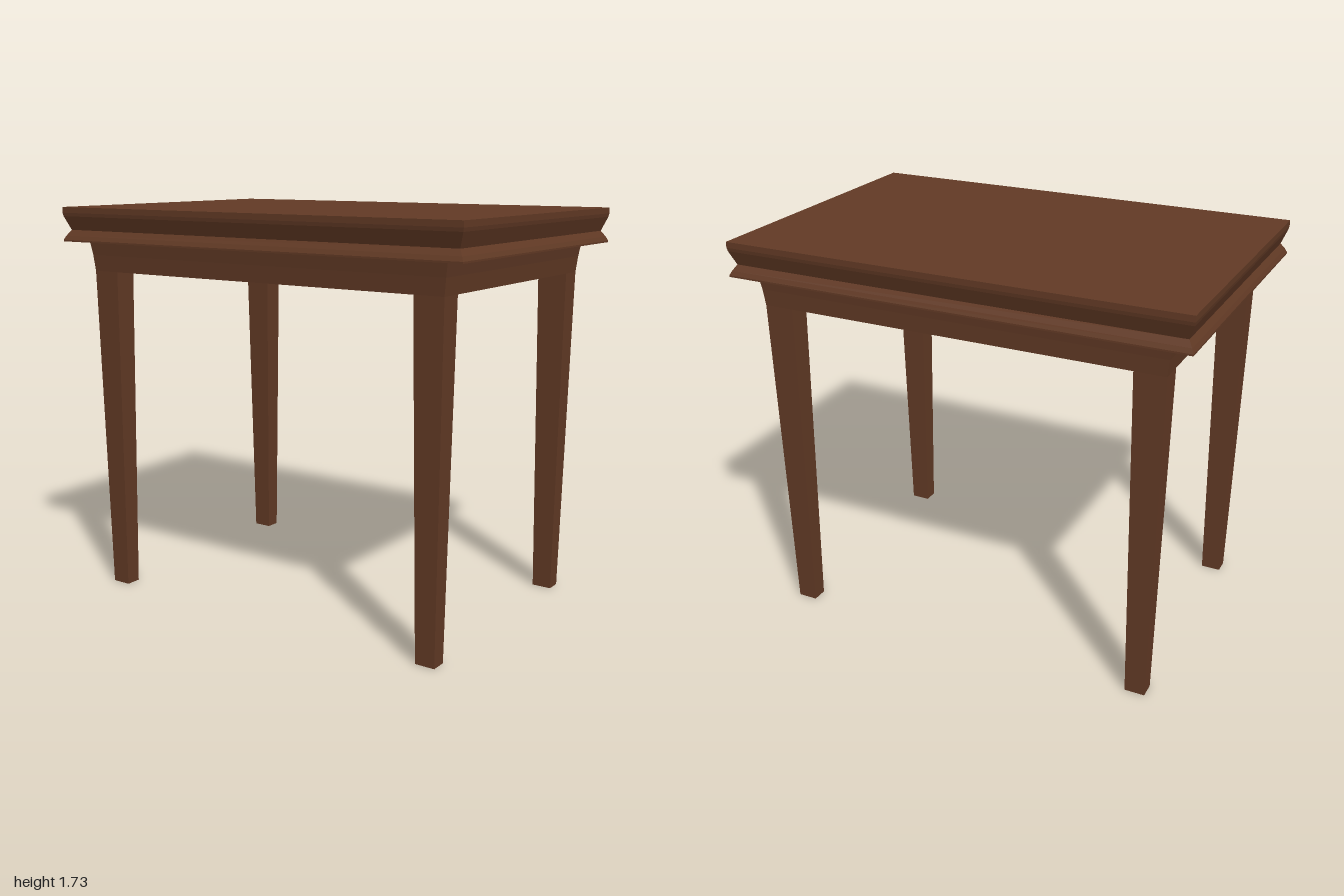
import * as THREE from 'three';

const wood = new THREE.MeshStandardMaterial({ color: 0x623a25, flatShading: true });

// Closed stack of rectangles, bottom to top: each ring is [y, xMin, xMax, zMin, zMax]
function loft(name, rings) {
  const pos = [];
  const corners = ([y, x0, x1, z0, z1]) => [[x0, y, z1], [x1, y, z1], [x1, y, z0], [x0, y, z0]];
  const quad = (a, b, c, d) => pos.push(...a, ...b, ...c, ...a, ...c, ...d);
  const loops = rings.map(corners);
  for (let i = 0; i < loops.length - 1; i++) {
    const lo = loops[i], hi = loops[i + 1];
    for (let k = 0; k < 4; k++) {
      const n = (k + 1) % 4;
      quad(lo[k], lo[n], hi[n], hi[k]);
    }
  }
  const [a, b, c, d] = loops[0];
  quad(d, c, b, a);
  quad(...loops[loops.length - 1]);
  const geo = new THREE.BufferGeometry();
  geo.setAttribute('position', new THREE.Float32BufferAttribute(pos, 3));
  geo.computeVertexNormals();
  const mesh = new THREE.Mesh(geo, wood);
  mesh.name = name;
  return mesh;
}

const centred = (y, x, z) => [y, -x, x, -z, z];

export function createModel() {
  const table = new THREE.Group();
  table.name = 'table';

  // Moulded top: flared lower lip, pinched waist, square upper edge
  const profile = [[1.58, 0], [1.587, 0], [1.605, 0.009], [1.63, 0.026], [1.69, 0.003], [1.705, 0], [1.73, 0]];
  table.add(loft('tabletop', profile.map(([y, inset]) => centred(y, 1 - inset, 0.66 - inset))));

  // Solid apron, flaring slightly up to the top and flush with the legs
  table.add(loft('apron', [
    centred(1.45, 0.886, 0.583),
    centred(1.52, 0.894, 0.588),
    centred(1.58, 0.904, 0.595),
  ]));

  // Four square legs tapering to the floor
  for (const sx of [1, -1]) {
    for (const sz of [1, -1]) {
      const ring = (y, xi, xo, zi, zo) => [
        y, Math.min(sx * xi, sx * xo), Math.max(sx * xi, sx * xo),
        Math.min(sz * zi, sz * zo), Math.max(sz * zi, sz * zo),
      ];
      const name = (sz > 0 ? 'front' : 'back') + (sx > 0 ? 'Left' : 'Right') + 'Leg';
      table.add(loft(name, [
        ring(0, 0.775, 0.862, 0.498, 0.566),
        ring(1.45, 0.755, 0.886, 0.484, 0.583),
      ]));
    }
  }
  return table;
}
